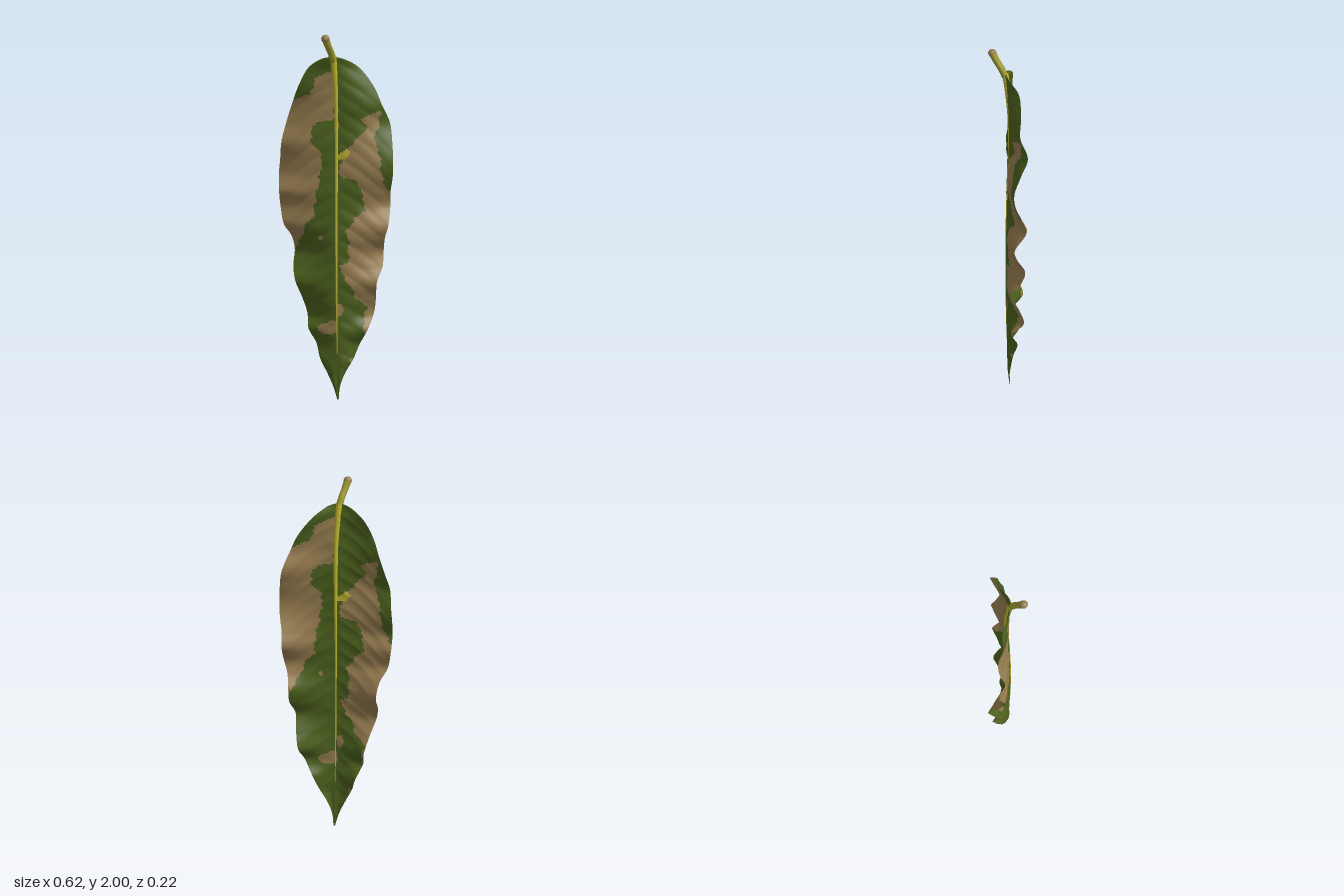
import * as THREE from 'three';

const mat = (name, color) => new THREE.MeshStandardMaterial({ name, color });

// Linear lookup of column c in rows sorted by falling first column
function lookup(rows, y, c) {
  if (y >= rows[0][0]) return rows[0][c];
  for (let i = 1; i < rows.length; i++) {
    const a = rows[i - 1], b = rows[i];
    if (y >= b[0]) return b[c] + (a[c] - b[c]) * (y - b[0]) / (a[0] - b[0]);
  }
  return rows[rows.length - 1][c];
}

// Blade margins: height, x and z of the edge
const leftEdge = [
  [1.872, -.015, .02], [1.855, -.08, 0], [1.8, -.155, -.03], [1.7, -.208, -.03], [1.6, -.245, -.055],
  [1.5, -.275, -.05], [1.4, -.298, -.02], [1.3, -.308, -.045], [1.22, -.315, -.05], [1.13, -.311, -.02],
  [1.05, -.308, -.055], [.95, -.288, -.035], [.88, -.25, -.075], [.8, -.236, -.11], [.72, -.238, -.06],
  [.64, -.222, -.015], [.55, -.19, -.05], [.46, -.165, -.085], [.38, -.152, -.03], [.3, -.115, -.07],
  [.22, -.088, -.02], [.14, -.047, -.01], [.07, -.015, -.003], [0, .006, -.005],
];
const rightEdge = [
  [1.872, -.01, .02], [1.855, .05, 0], [1.8, .125, -.05], [1.7, .2, -.055], [1.6, .245, -.05],
  [1.5, .283, -.088], [1.4, .3, -.05], [1.3, .308, -.015], [1.22, .306, -.02], [1.13, .29, -.055],
  [1.05, .286, -.08], [.95, .282, -.02], [.88, .262, -.03], [.8, .25, -.075], [.72, .247, -.05],
  [.64, .222, 0], [.55, .212, -.045], [.46, .197, -.07], [.38, .17, -.01], [.3, .125, -.04],
  [.22, .092, -.02], [.14, .047, -.01], [.07, .022, -.003], [0, .014, -.005],
];

// Dry patches: height, inner and outer distance from the midrib
const dryLeft = [
  [1.79, 0, .03], [1.75, 0, .11], [1.66, 0, .14], [1.63, .005, .22], [1.58, .01, .4], [1.53, .01, .4],
  [1.51, .1, .4], [1.45, .14, .4], [1.39, .13, .4], [1.36, .09, .4], [1.3, .075, .4], [1.2, .09, .4],
  [1.1, .11, .4], [1, .12, .4], [.95, .165, .4], [.88, .19, .4], [.79, .245, .4],
];
const dryRight = [
  [1.57, .22, .235], [1.53, .14, .235], [1.47, .165, .22], [1.41, .1, .205], [1.35, .05, .235],
  [1.3, .03, .24], [1.215, .015, .25], [1.19, .12, .255], [1.1, .145, .29], [1.07, .15, .4], [1.03, .15, .4],
  [.98, .1, .4], [.93, .06, .4], [.85, .07, .4], [.75, .065, .4], [.73, .025, .4], [.69, .03, .4],
  [.62, .08, .4], [.55, .11, .4], [.5, .165, .4], [.42, .145, .4], [.34, .16, .4],
];
// Small spots: x, y, half width, half height
const drySpots = [[-.045, .385, .055, .03], [-.02, .41, .025, .025], [.02, .49, .02, .035], [.08, .215, .012, .012], [-.085, .88, .012, .012]];
const yellowSpots = [[.03, 1.325, .035, .018], [.055, 1.345, .02, .018]];

// Colour of a blade point: 0 green, 1 dry brown, 2 yellow
function tone(x, y) {
  const within = ([sx, sy, w, h]) => ((x - sx) / w) ** 2 + ((y - sy) / h) ** 2 < 1;
  if (yellowSpots.some(within)) return 2;
  const wobble = .006 * Math.sin(y * 71) + .004 * Math.sin(y * 163 + x * 40);
  const rows = x < 0 ? dryLeft : dryRight, d = Math.abs(x) + wobble;
  const inRange = y < rows[0][0] && y > rows[rows.length - 1][0];
  const patch = inRange && d > lookup(rows, y, 1) && d < lookup(rows, y, 2);
  return patch || drySpots.some(within) ? 1 : 0;
}

// Midrib line: height, x, z
const ribPath = [
  [1.875, -.014, .02], [1.8, -.008, .01], [1.65, 0, -.003], [1.5, .002, -.007], [1.3, .003, 0],
  [.9, .003, .012], [.5, .005, .012], [.25, .007, .007], [0, .01, -.005],
];
const ribCurve = new THREE.CatmullRomCurve3(ribPath.slice(0, 8).map(([y, x, z]) => new THREE.Vector3(x, y, z)));

// One face of the blade, grouped by colour; side = 1 front, -1 back
function bladeSheet(side, materials) {
  const ROWS = 240, COLS = 100;
  const curveOf = rows => new THREE.CatmullRomCurve3(
    rows.map(([y, x, z]) => new THREE.Vector3(x, y, z)), false, 'catmullrom', .5);
  const left = curveOf(leftEdge), right = curveOf(rightEdge);
  const pos = [], faces = [[], [], []];
  for (let i = 0; i <= ROWS; i++) {
    const l = left.getPoint(1 - i / ROWS), r = right.getPoint(1 - i / ROWS), y = l.y;
    const rx = lookup(ribPath, y, 1), rz = lookup(ribPath, y, 2);
    // where the rib sits back, each half swells forward beside it
    const swell = Math.max(0, .01 - rz) * Math.min(1, y / .2);
    for (let j = 0; j <= COLS; j++) {
      const s = 2 * j / COLS - 1, a = Math.abs(s), e = s < 0 ? l : r;
      const x = rx + (e.x - rx) * a, d = Math.abs(x - rx);
      // side veins slanting towards the tip, fading at rib and margin
      const vein = Math.abs(Math.sin((y + .45 * d + 1.2 * d * d + (s < 0 ? .03 : 0)) * Math.PI / .088));
      const fade = Math.min(1, d / .04) * (1 - a ** 4);
      const z = rz + (e.z - rz) * a ** 1.5 + swell * Math.sin(Math.PI * a) + .0045 * (vein - .6) * fade;
      pos.push(x, y, z + side * .0035 * (1 - a ** 8) * Math.min(1, y / .1));
    }
  }
  for (let i = 0; i < ROWS; i++) for (let j = 0; j < COLS; j++) {
    const a = i * (COLS + 1) + j, b = a + 1, c = b + COLS + 1, d = a + COLS + 1;
    const x = (pos[3 * a] + pos[3 * c]) / 2, y = (pos[3 * a + 1] + pos[3 * c + 1]) / 2;
    faces[tone(x * side, y)].push(...(side > 0 ? [a, b, c, a, c, d] : [a, c, b, a, d, c]));
  }
  const g = new THREE.BufferGeometry();
  g.setAttribute('position', new THREE.Float32BufferAttribute(pos, 3));
  g.setIndex(faces.flat());
  let start = 0;
  faces.forEach((f, k) => { g.addGroup(start, f.length, k); start += f.length; });
  g.computeVertexNormals();
  return new THREE.Mesh(g, materials);
}

// Tube whose radius follows a list along its length
function taperedTube(curve, radii, segments) {
  const sides = 14, g = new THREE.TubeGeometry(curve, segments, 1, sides), p = g.attributes.position;
  const v = new THREE.Vector3();
  for (let i = 0; i <= segments; i++) {
    const t = i / segments, c = curve.getPointAt(t);
    const k = Math.min(t * (radii.length - 1), radii.length - 1.0001), n = Math.floor(k);
    const r = THREE.MathUtils.lerp(radii[n], radii[n + 1], k - n);
    for (let j = 0; j <= sides; j++) {
      const id = i * (sides + 1) + j;
      v.fromBufferAttribute(p, id).sub(c).multiplyScalar(r).add(c);
      p.setXYZ(id, v.x, v.y, v.z);
    }
  }
  g.computeVertexNormals();
  return g;
}

export function createModel() {
  const green = mat('leaf green', 0x4c611d), brown = mat('dry brown', 0x977d50);
  const olive = mat('stem olive', 0x9b992d), yellow = mat('rib yellow', 0xbfb330);
  const model = new THREE.Group();
  model.name = 'leaf';
  const add = (mesh, name) => { mesh.name = name; model.add(mesh); return mesh; };

  add(bladeSheet(1, [green, brown, yellow]), 'bladeFront');
  add(bladeSheet(-1, [green, brown, yellow]), 'bladeBack');

  // Midrib, thinning towards the tip
  const ribRadii = [.018, .0135, .011, .009, .0075, .0065, .0058, .0054, .004];
  add(new THREE.Mesh(taperedTube(ribCurve, ribRadii, 80), yellow), 'midrib');

  // Stalk bending forward, with a dry rounded end
  const stalk = new THREE.CatmullRomCurve3([
    [-.048, 1.979, .087], [-.037, 1.94, .067], [-.02, 1.885, .034], [-.011, 1.83, .013],
  ].map(p => new THREE.Vector3(...p)));
  add(new THREE.Mesh(taperedTube(stalk, [.022, .0195, .0185, .0185, .0185, .013], 30), olive), 'stalk');
  const end = add(new THREE.Mesh(new THREE.SphereGeometry(.0225, 18, 12), brown), 'stalkEnd');
  end.position.set(-.048, 1.978, .087);
  return model;
}
